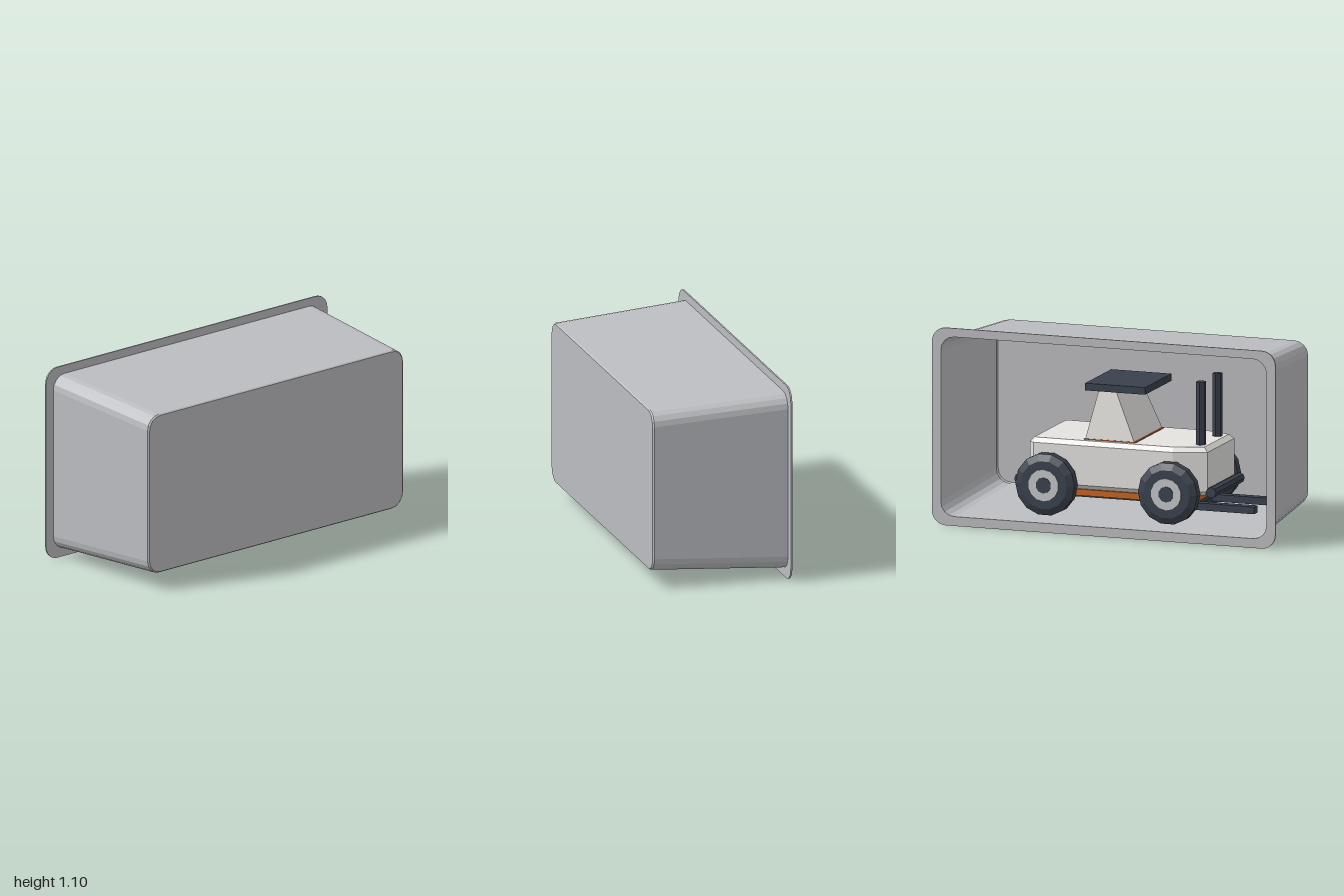
import * as THREE from 'three';

const mat = (name, color, extra = {}) => {
  const m = new THREE.MeshStandardMaterial({ color, ...extra });
  m.name = name;
  return m;
};

// Faceted normals for the low-poly parts
function flat(geo) {
  const g = geo.index ? geo.toNonIndexed() : geo;
  g.computeVertexNormals();
  return g;
}

// Counter-clockwise outline of a rounded rectangle
function roundedRect(hw, hh, r, cy, n = 4) {
  const pts = [];
  [[1, 1], [-1, 1], [-1, -1], [1, -1]].forEach(([sx, sy], c) => {
    for (let i = 0; i <= n; i++) {
      const a = (c + i / n) * Math.PI / 2;
      pts.push(new THREE.Vector2(sx * (hw - r) + r * Math.cos(a), cy + sy * (hh - r) + r * Math.sin(a)));
    }
  });
  return pts;
}

// Surface joining outlines placed at successive z
function loft(sections) {
  const pos = [];
  for (let s = 0; s + 1 < sections.length; s++) {
    const [A, za] = sections[s], [B, zb] = sections[s + 1];
    for (let i = 0; i < A.length; i++) {
      const j = (i + 1) % A.length;
      const a = [A[i].x, A[i].y, za], b = [A[j].x, A[j].y, za];
      const c = [B[j].x, B[j].y, zb], d = [B[i].x, B[i].y, zb];
      pos.push(...a, ...b, ...c, ...a, ...c, ...d);
    }
  }
  const g = new THREE.BufferGeometry();
  g.setAttribute('position', new THREE.Float32BufferAttribute(pos, 3));
  return flat(g);
}

export function createModel() {
  const root = new THREE.Group();
  root.name = 'toyInTray';
  const grey = mat('trayGrey', 0xbcbdc1, { side: THREE.DoubleSide });
  const white = mat('bodyWhite', 0xe4e3e0);
  const dark = mat('darkSlate', 0x3a414d);
  const orange = mat('chassisOrange', 0xc8641f);
  const hubGrey = mat('hubGrey', 0xc4c5c8);

  const add = (parent, name, geo, material, x = 0, y = 0, z = 0) => {
    const m = new THREE.Mesh(geo, material);
    m.name = name;
    m.position.set(x, y, z);
    parent.add(m);
    return m;
  };
  const box = (w, h, d) => new THREE.BoxGeometry(w, h, d);

  // Tray: tapered shell, closed at the front, open at the back
  const tray = new THREE.Group();
  tray.name = 'tray';
  root.add(tray);
  const cy = 0.552;
  const cap = roundedRect(0.9, 0.451, 0.075, cy);
  add(tray, 'trayWalls', loft([
    [roundedRect(0.95, 0.502, 0.08, cy), -0.38],
    [roundedRect(0.908, 0.457, 0.08, cy), 0.376],
    [cap, 0.384],
  ]), grey);
  add(tray, 'trayFront', new THREE.ShapeGeometry(new THREE.Shape(cap)), grey, 0, 0, 0.384);
  const rim = new THREE.Shape(roundedRect(1, 0.55, 0.08, 0.55, 6));
  rim.holes.push(new THREE.Path(roundedRect(0.948, 0.5, 0.078, cy)));
  add(tray, 'trayRim', new THREE.ExtrudeGeometry(rim, { depth: 0.009, bevelEnabled: false }), grey, 0, 0, -0.385);

  // Truck, nose towards -x
  const truck = new THREE.Group();
  truck.name = 'truck';
  root.add(truck);

  // Body: plan outline with a tapered nose, raised with a bevel
  const plan = [[-0.54, -0.21], [-0.36, -0.275], [0.45, -0.275], [0.48, -0.245],
    [0.48, 0.245], [0.45, 0.275], [-0.36, 0.275], [-0.54, 0.21]];
  const outline = new THREE.Shape(plan.map(p => new THREE.Vector2(...p)));
  const body = new THREE.ExtrudeGeometry(outline, {
    depth: 0.22, bevelThickness: 0.025, bevelSize: 0.025, bevelOffset: -0.025, bevelSegments: 1,
  });
  body.rotateX(-Math.PI / 2);
  add(truck, 'body', flat(body), white, 0, 0.255, 0);
  add(truck, 'chassisPlate', box(0.96, 0.035, 0.53), orange, 0, 0.213, 0);
  add(truck, 'chassisRail', box(0.9, 0.04, 0.24), dark, 0, 0.178, 0);

  // Cabin: box pinched towards the roof
  const cabin = box(1, 0.28, 1);
  const p = cabin.attributes.position;
  for (let i = 0; i < p.count; i++) {
    const top = p.getY(i) > 0, right = p.getX(i) > 0;
    p.setX(i, top ? (right ? 0.1 : 0) : (right ? 0.17 : -0.12));
    p.setZ(i, Math.sign(p.getZ(i)) * (top ? 0.19 : 0.22));
  }
  add(truck, 'cabin', flat(cabin), white, 0, 0.635, 0);
  add(truck, 'cabinSill', box(0.3, 0.006, 0.446), orange, 0.025, 0.502, 0);
  add(truck, 'roof', box(0.35, 0.04, 0.41), dark, 0, 0.79, 0);

  // Wheels, hubs and axles
  const sides = 14;
  const tyre = new THREE.LatheGeometry([[0, -0.045], [0.135, -0.045], [0.173, -0.025],
    [0.173, 0.025], [0.135, 0.045], [0, 0.045]].map(q => new THREE.Vector2(...q)), sides, Math.PI / sides);
  tyre.rotateX(Math.PI / 2);
  const tyreGeo = flat(tyre);
  const disc = (r, h, n) => flat(new THREE.CylinderGeometry(r, r, h, n).rotateX(Math.PI / 2));
  const hubGeo = disc(0.088, 0.1, sides), capGeo = disc(0.044, 0.108, 10);
  for (const x of [-0.357, 0.357]) {
    add(truck, 'axle', disc(0.03, 0.6, 8), dark, x, 0.258, 0);
    for (const z of [-0.318, 0.318]) {
      const wheel = new THREE.Group();
      wheel.name = 'wheel';
      wheel.position.set(x, 0.258, z);
      truck.add(wheel);
      add(wheel, 'tyre', tyreGeo, dark);
      add(wheel, 'hub', hubGeo, hubGrey);
      add(wheel, 'hubCap', capGeo, dark);
    }
  }

  // Bumpers at both ends
  for (const x of [-0.565, 0.55]) add(truck, 'bumper', disc(0.03, 0.45, 8), dark, x, 0.255, 0);

  // Upright posts and low forks on the nose
  const postGeo = flat(new THREE.CylinderGeometry(0.028, 0.028, 0.37, 6));
  for (const z of [-0.127, 0.127]) {
    add(truck, 'post', postGeo, dark, -0.472, 0.665, z);
    add(truck, 'fork', box(0.34, 0.04, 0.05), dark, -0.62, 0.158, z);
  }
  return root;
}
